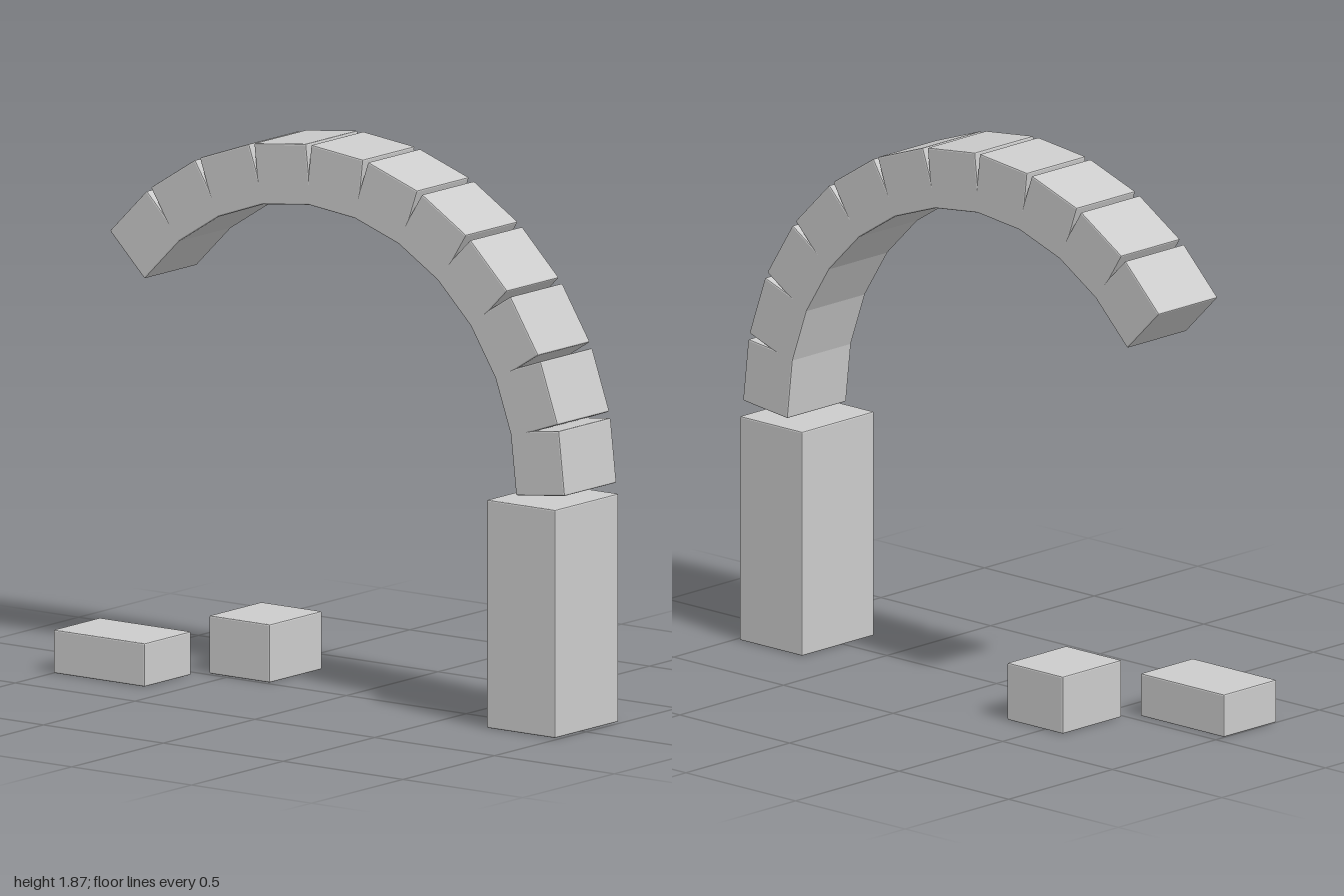
import * as THREE from 'three';
import { RoundedBoxGeometry } from 'three/addons/geometries/RoundedBoxGeometry.js';

const material = new THREE.MeshStandardMaterial({ color: 0xcccccc, flatShading: true });

// Stone block with slightly chamfered edges
function block(name, size, position) {
  const mesh = new THREE.Mesh(new RoundedBoxGeometry(...size, 1, 0.005), material);
  mesh.name = name;
  mesh.position.set(...position);
  return mesh;
}

export function createModel() {
  const model = new THREE.Group();
  model.name = 'ruinedArch';
  const depthCentre = -0.026;

  // Standing pillar
  model.add(block('pillar', [0.286, 0.772, 0.348], [0.841, 0.386, depthCentre]));

  // Broken arch: 11 of the 14 stones of a half circle
  const arch = new THREE.Group();
  arch.name = 'arch';
  arch.position.set(-0.07, 0.805, depthCentre);
  const inner = 0.859, outer = 1.064, count = 14;
  for (let i = 0; i < 11; i++) {
    const angle = ((i + 0.5) * Math.PI) / count;
    const radius = (inner + outer) / 2;
    const stone = block(
      'archStone' + (i + 1),
      [outer - inner, 0.218, 0.285],
      [radius * Math.cos(angle), radius * Math.sin(angle), 0]
    );
    stone.rotation.z = angle;
    arch.add(stone);
  }
  model.add(arch);

  // Fallen stones on the ground
  model.add(block('fallenSlab', [0.382, 0.147, 0.254], [-0.809, 0.0735, 0.166]));
  model.add(block('fallenStone', [0.254, 0.197, 0.285], [-0.457, 0.0985, -0.156]));

  return model;
}
